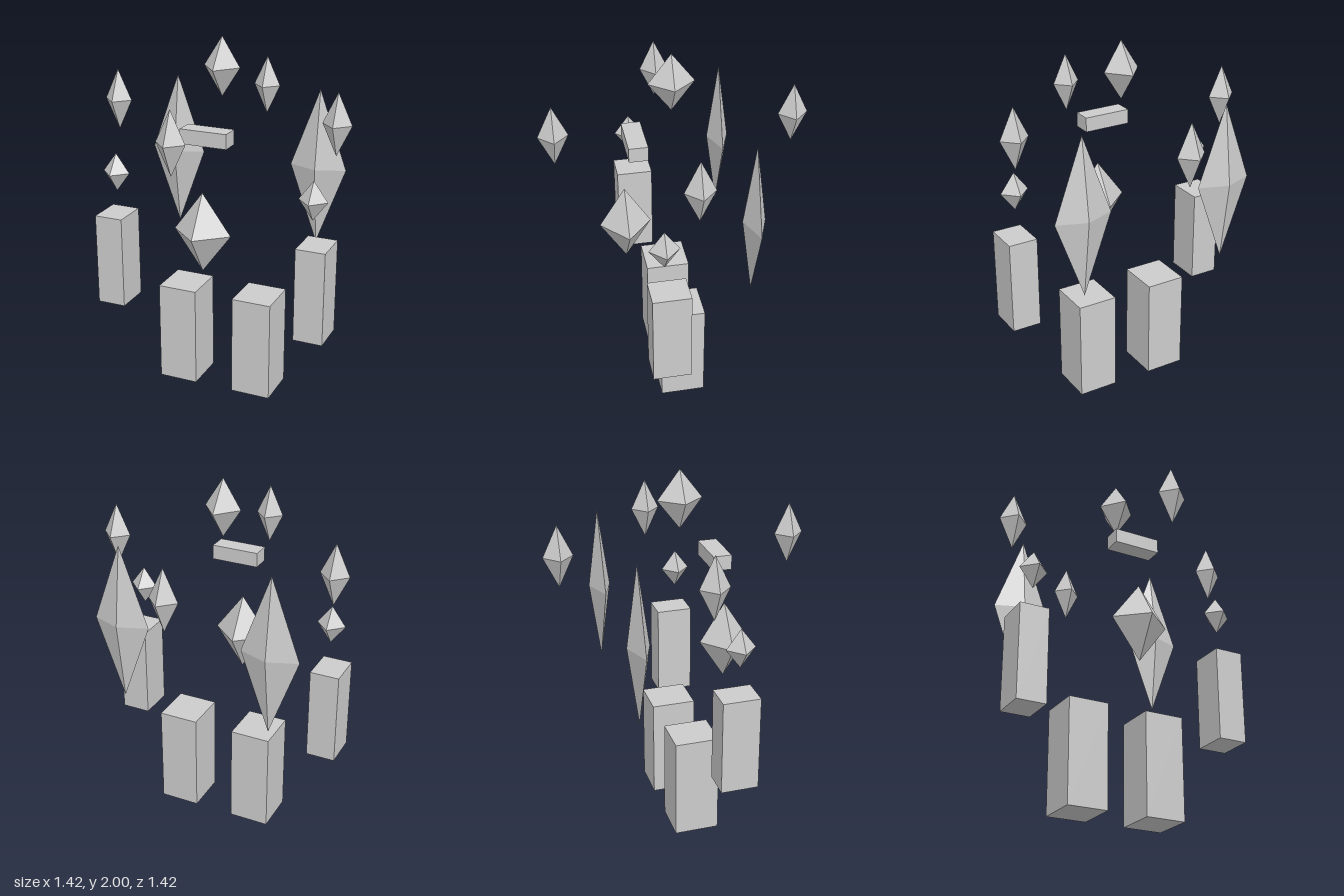
import * as THREE from 'three';

export function createModel() {
  const model = new THREE.Group();
  model.name = 'crystalGolem';
  const stone = new THREE.MeshStandardMaterial({ color: 0xcccccc });
  stone.name = 'paleStone';

  const add = (name, geometry, x, y, z) => {
    const mesh = new THREE.Mesh(geometry, stone);
    mesh.name = name;
    mesh.position.set(x, y, z);
    model.add(mesh);
  };

  // Eight-faced crystal given by its half extents
  const crystal = (rx, ry, rz) => new THREE.OctahedronGeometry(1).scale(rx, ry, rz).toNonIndexedFlat;
  const gem = (rx, ry, rz) => {
    const g = new THREE.OctahedronGeometry(1).scale(rx, ry, rz);
    g.computeVertexNormals(); // unshared corners give flat faces
    return g;
  };

  // Head, jaw bar and chest core
  add('head', gem(0.102, 0.16, 0.122), 0, 1.84, 0.018);
  add('jawBar', new THREE.BoxGeometry(0.262, 0.08, 0.102), 0, 1.512, 0.213);
  add('chestCore', gem(0.162, 0.221, 0.14), 0, 1.003, 0.275);

  // Mirrored limbs, shoulders and back wings
  for (const [side, s] of [['left', 1], ['right', -1]]) {
    add(side + 'Leg', new THREE.BoxGeometry(0.224, 0.572, 0.245), s * 0.224, 0.286, 0.018);
    add(side + 'Arm', new THREE.BoxGeometry(0.163, 0.524, 0.203), s * 0.59, 0.718, 0.142);
    add(side + 'Shoulder', gem(0.08, 0.108, 0.08), s * 0.571, 1.227, 0.163);
    add(side + 'Wing', gem(0.161, 0.443, 0.06), s * 0.428, 1.238, -0.328);
  }

  // Four crystals floating in a ring around the head
  for (let i = 0; i < 4; i++) {
    const a = (i * Math.PI) / 2;
    add('orbitCrystal' + (i + 1), gem(0.08, 0.169, 0.08), 0.632 * Math.cos(a), 1.594, 0.632 * Math.sin(a));
  }

  return model;
}
